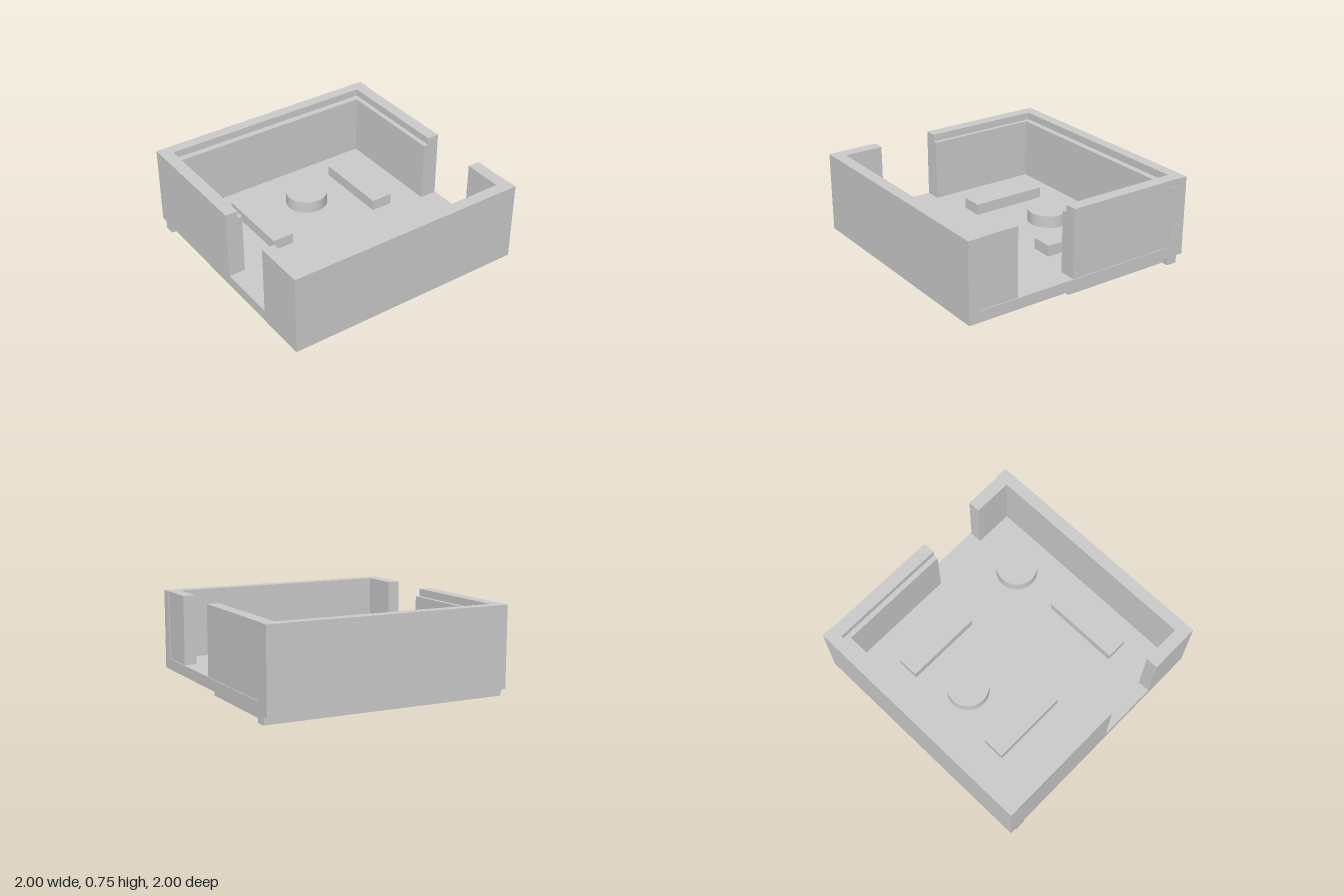
import * as THREE from 'three';

export function createModel() {
  const model = new THREE.Group();
  const material = new THREE.MeshStandardMaterial({ color: 0xcccccc });

  // Box given by its limits on each axis
  function block(name, [x0, x1], [y0, y1], [z0, z1]) {
    const mesh = new THREE.Mesh(new THREE.BoxGeometry(x1 - x0, y1 - y0, z1 - z0), material);
    mesh.name = name;
    mesh.position.set((x0 + x1) / 2, (y0 + y1) / 2, (z0 + z1) / 2);
    model.add(mesh);
  }

  const floorY = [0.1, 0.19], wallY = [0.19, 0.75];
  const lowerY = [0.19, 0.69], rimY = [0.69, 0.75], railY = [0.037, 0.1];

  block('floor', [-1, 1], floorY, [-1, 1]);

  // Front wall with short side returns
  block('frontWall', [-1, 1], wallY, [0.904, 1]);
  block('frontReturnRight', [-1, -0.9], wallY, [0.58, 0.904]);
  block('frontReturnLeft', [0.893, 0.993], wallY, [0.58, 0.904]);

  // Rear walls: thick below, thinner rim above, leaving a ledge inside
  block('backWallLower', [-1, 1], lowerY, [-1, -0.853]);
  block('backWallRim', [-1, 1], rimY, [-1, -0.906]);
  block('sideWallLowerRight', [-1, -0.864], lowerY, [-0.853, 0.08]);
  block('sideWallRimRight', [-1, -0.9], rimY, [-0.906, 0.08]);
  block('sideWallLowerLeft', [0.853, 0.993], lowerY, [-0.853, 0.08]);
  block('sideWallRimLeft', [0.893, 0.993], rimY, [-0.906, 0.08]);

  // Stacking rails under the floor
  block('backRail', [-1, 1], railY, [-0.943, -0.853]);
  block('sideRailRight', [-0.953, -0.864], railY, [-0.853, 0.08]);
  block('sideRailLeft', [0.85, 0.943], railY, [-0.853, 0.08]);

  // Bars passing through the floor
  const barY = [0.007, 0.28];
  block('barRight', [-0.55, -0.37], barY, [-0.64, 0]);
  block('barLeft', [0.41, 0.59], barY, [-0.64, 0]);
  block('barFront', [-0.595, 0.048], barY, [0.553, 0.73]);

  // Round pegs passing through the floor
  for (const [name, x, z] of [['pegBack', 0.037, -0.42], ['pegFront', 0.482, 0.6]]) {
    const peg = new THREE.Mesh(new THREE.CylinderGeometry(0.17, 0.17, 0.29, 64), material);
    peg.name = name;
    peg.position.set(x, 0.145, z);
    model.add(peg);
  }

  return model;
}
